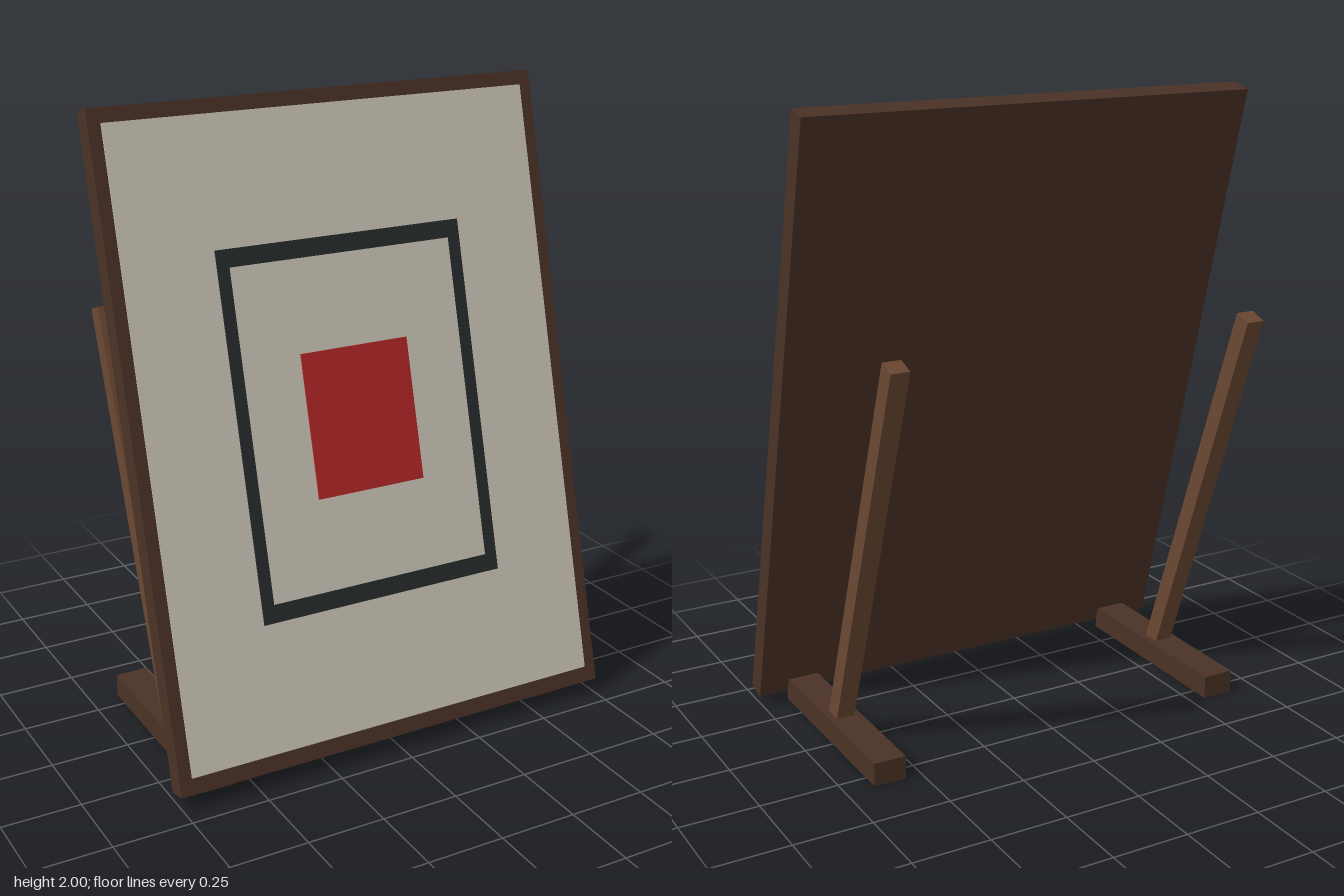
import * as THREE from 'three';

const mat = (name, color) => {
  const m = new THREE.MeshStandardMaterial({ color });
  m.name = name;
  return m;
};

export function createModel() {
  const darkWood = mat('dark wood', 0x4a3226);
  const lightWood = mat('light wood', 0x6a4731);
  const canvas = mat('canvas', 0xcac5b7);
  const black = mat('black paint', 0x262a2a);
  const red = mat('red paint', 0xb02626);

  const box = (name, material, w, h, d, x, y, z, parent) => {
    const mesh = new THREE.Mesh(new THREE.BoxGeometry(w, h, d), material);
    mesh.name = name;
    mesh.position.set(x, y, z);
    parent.add(mesh);
    return mesh;
  };

  const model = new THREE.Group();
  model.name = 'displayBoard';

  // Leaning board: local z = 0.035 is its front face
  const board = new THREE.Group();
  board.name = 'board';
  board.position.set(0, 1.015, 0.14);
  board.rotation.x = -Math.PI / 12;
  model.add(board);
  box('frame', darkWood, 1.51, 2.02, 0.07, 0, 0, 0, board);
  box('canvasPanel', canvas, 1.43, 1.925, 0.006, 0, 0.003, 0.035, board);

  // Painted border and centre block
  for (const s of [-1, 1]) {
    box('borderSide', black, 0.04, 1.02, 0.006, s * 0.4, 0.003, 0.038, board);
    box('borderEnd', black, 0.84, 0.055, 0.006, 0, 0.003 + s * 0.5375, 0.038, board);
  }
  box('centreBlock', red, 0.37, 0.447, 0.009, 0, 0.003, 0.039, board);

  // Feet with leaning rear posts
  const lean = 20 * Math.PI / 180;
  const length = 1.36;
  for (const s of [-1, 1]) {
    box('foot', darkWood, 0.105, 0.075, 0.68, s * 0.605, 0.0375, 0.028, model);
    const post = box('post', lightWood, 0.06, length, 0.06, s * 0.605,
      0.04 + Math.cos(lean) * length / 2, 0.056 - Math.sin(lean) * length / 2, model);
    post.rotation.x = -lean;
  }
  return model;
}
